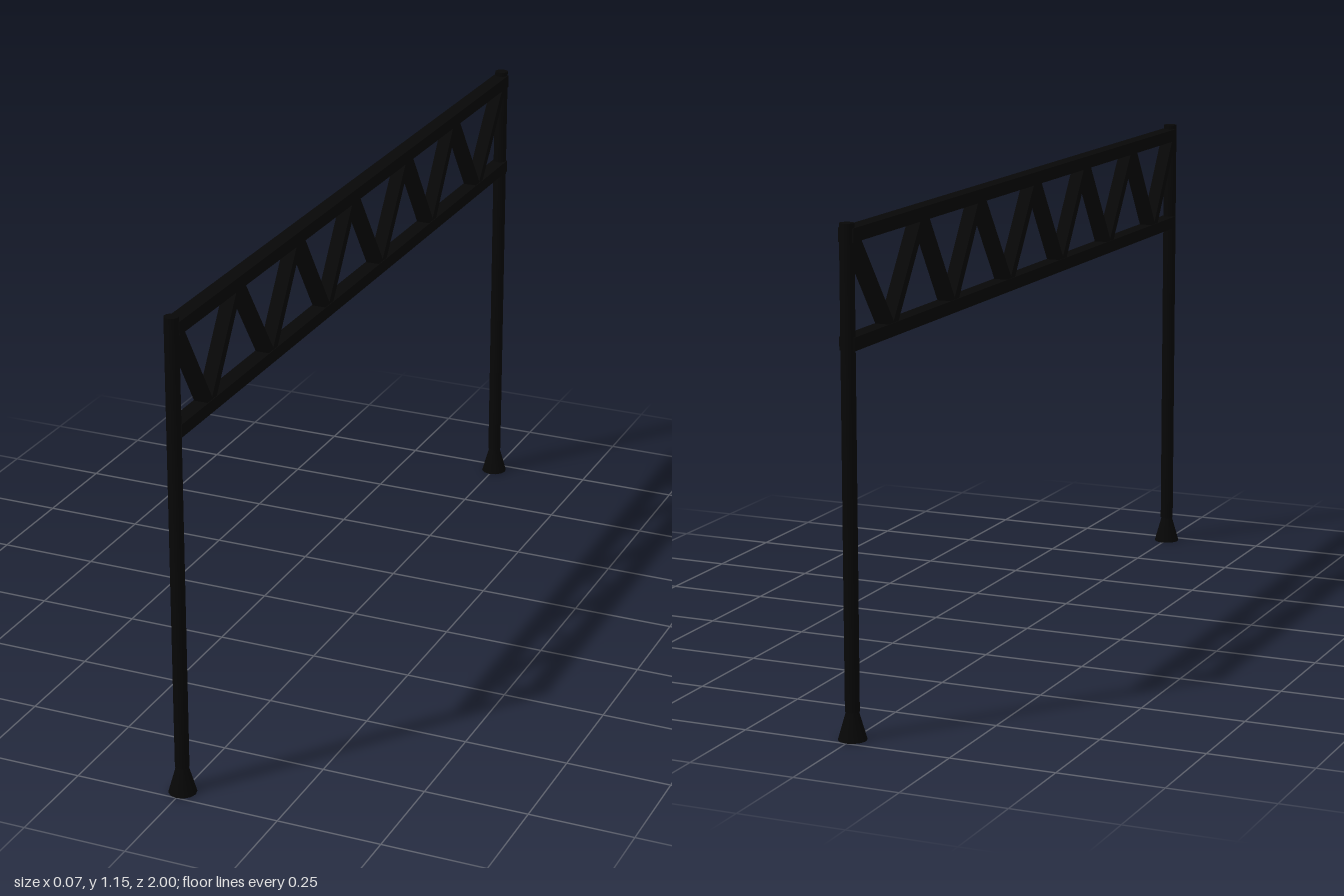
import * as THREE from 'three';

export function createModel() {
  const group = new THREE.Group();
  const blackSteel = new THREE.MeshStandardMaterial({ color: 0x070707 });
  blackSteel.name = 'blackSteel';

  const add = (name, geometry, x, y, z) => {
    const mesh = new THREE.Mesh(geometry, blackSteel);
    mesh.name = name;
    mesh.position.set(x, y, z);
    group.add(mesh);
    return mesh;
  };

  const legZ = 0.967, topY = 1.124, bottomY = 0.888;

  // Round posts on conical feet
  for (const [end, s] of [['front', 1], ['back', -1]]) {
    add(end + 'Post', new THREE.CylinderGeometry(0.0165, 0.0165, 1.085, 16), 0, 0.6075, s * legZ);
    add(end + 'Foot', new THREE.CylinderGeometry(0.01, 0.033, 0.08, 12), 0, 0.04, s * legZ);
  }

  // Horizontal chords of the truss
  add('topChord', new THREE.BoxGeometry(0.037, 0.031, 1.937), 0, topY, -0.0035);
  add('bottomChord', new THREE.BoxGeometry(0.037, 0.03, 1.937), 0, bottomY, -0.0035);

  // Zigzag bracing: joints alternate between the top and bottom chords
  const jointZ = [0.96, 0.813, 0.66, 0.497, 0.342, 0.185, 0.027, -0.134, -0.3, -0.455, -0.61, -0.775, -0.955];
  const joints = jointZ.map((z, i) => [z, i % 2 ? bottomY : topY]);
  for (let i = 0; i < joints.length - 1; i++) {
    const [z0, y0] = joints[i], [z1, y1] = joints[i + 1];
    const brace = add('brace' + (i + 1),
      new THREE.BoxGeometry(0.033, 0.022, Math.hypot(z1 - z0, y1 - y0)),
      0, (y0 + y1) / 2, (z0 + z1) / 2);
    brace.rotation.x = -Math.atan2(y1 - y0, z1 - z0);
  }
  return group;
}
